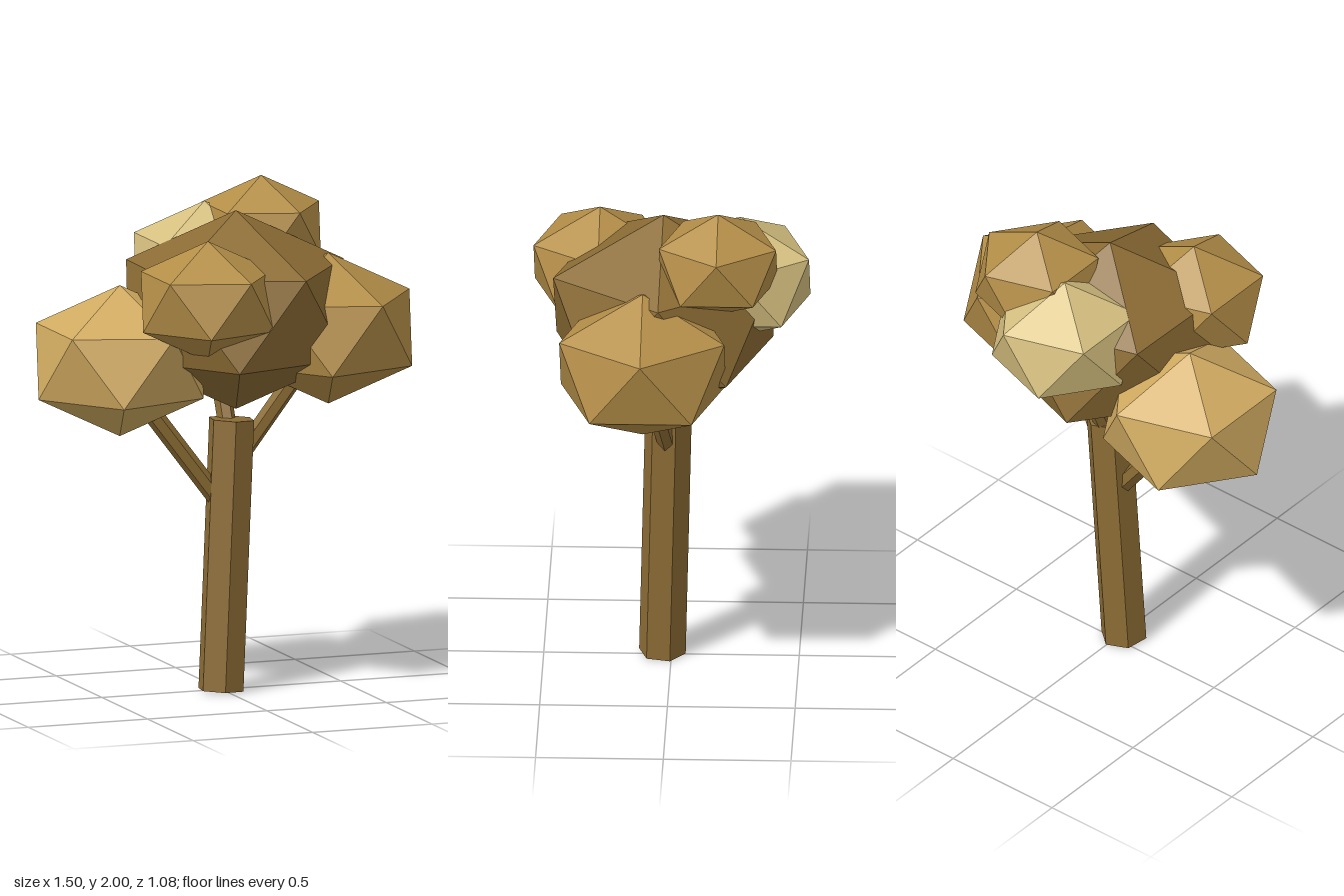
import * as THREE from 'three';

const paint = (color) => new THREE.MeshStandardMaterial({ color, flatShading: true });
const bark = paint(0x8c6c34);
const ochre = paint(0xb48e48);
const gold = paint(0xd0aa60);
const straw = paint(0xd6c080);

// Straight prism running from point a to point b
function limb(name, a, b, radius, sides, turn) {
  const from = new THREE.Vector3(...a);
  const to = new THREE.Vector3(...b);
  const axis = to.clone().sub(from);
  const geo = new THREE.CylinderGeometry(radius, radius, axis.length(), sides, 1, false, turn);
  const mesh = new THREE.Mesh(geo, bark);
  mesh.quaternion.setFromUnitVectors(new THREE.Vector3(0, 1, 0), axis.normalize());
  mesh.position.copy(from).add(to).multiplyScalar(0.5);
  mesh.name = name;
  return mesh;
}

// Flattened icosahedron standing on a corner; turn aims an upper-ring corner from +x towards +z
function foliage(name, center, radius, material, turn = 0) {
  const geo = new THREE.IcosahedronGeometry(radius, 0);
  geo.rotateZ(-Math.atan(2 / (1 + Math.sqrt(5))));
  geo.rotateY(-turn);
  geo.scale(1, 0.79, 1);
  const mesh = new THREE.Mesh(geo, material);
  mesh.position.set(...center);
  mesh.name = name;
  return mesh;
}

export function createModel() {
  const tree = new THREE.Group();
  tree.name = 'tree';

  // Leaning six-sided trunk and its branches
  tree.add(
    limb('trunk', [-0.015, 0.008, 0.036], [0.04, 1.078, 0.01], 0.093, 6, THREE.MathUtils.degToRad(50)),
    limb('rightBranch', [0.0, 0.735, 0.02], [-0.34, 1.188, -0.01], 0.037, 6, 0.3),
    limb('leftBranch', [0.06, 0.91, 0.01], [0.38, 1.38, 0.09], 0.036, 6, 0.3),
    limb('backBranch', [0.035, 0.95, 0.02], [0.03, 1.45, -0.2], 0.036, 6, 0.3)
  );

  // Crown: one large clump with five smaller ones around it
  tree.add(
    foliage('mainFoliage', [0.05, 1.515, 0.03], 0.5, bark, THREE.MathUtils.degToRad(73)),
    foliage('rightFoliage', [-0.41, 1.33, -0.04], 0.38, gold),
    foliage('leftFoliage', [0.41, 1.43, 0.1], 0.38, ochre),
    foliage('frontFoliage', [-0.165, 1.605, 0.285], 0.303, ochre),
    foliage('topFoliage', [0.24, 1.787, -0.19], 0.27, ochre),
    foliage('backFoliage', [0.033, 1.645, -0.27], 0.32, straw)
  );
  return tree;
}
